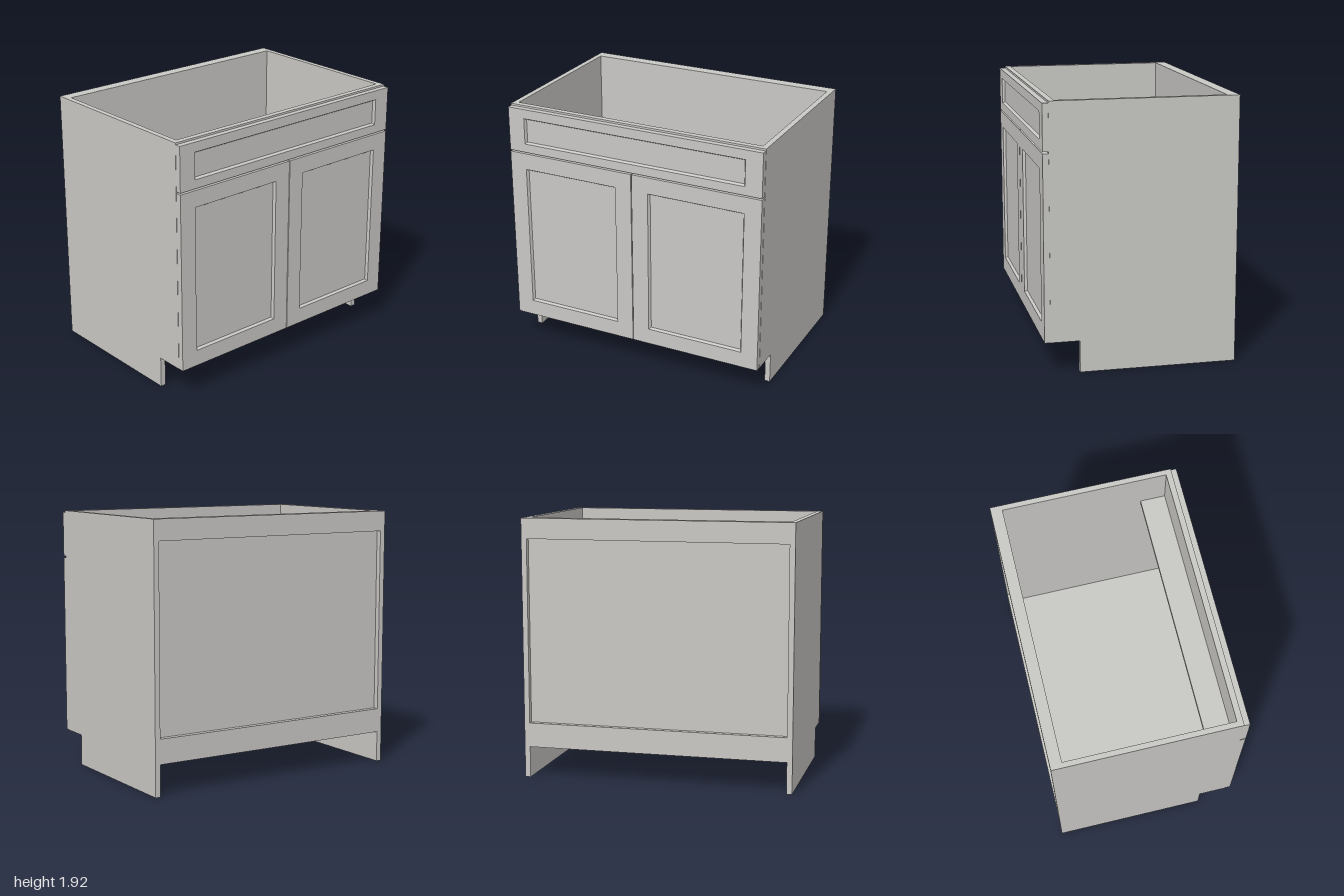
import * as THREE from 'three';

const W = 1, H = 1.92, T = 0.04;           // half width, height, board thickness
const BACK = -0.69, CASE = 0.648, FRONT = 0.69, FLOOR = 0.23;

export function createModel() {
  const model = new THREE.Group();
  model.name = 'baseCabinet';
  const paint = new THREE.MeshStandardMaterial({ color: 0xc9c8c5 });
  paint.name = 'warm grey paint';

  const add = (name, geometry, parent = model) => {
    const mesh = new THREE.Mesh(geometry, paint);
    mesh.name = name;
    parent.add(mesh);
    return mesh;
  };

  // Board given by its extents
  const board = (name, x0, x1, y0, y1, z0, z1, parent) => {
    const mesh = add(name, new THREE.BoxGeometry(x1 - x0, y1 - y0, z1 - z0), parent);
    mesh.position.set((x0 + x1) / 2, (y0 + y1) / 2, (z0 + z1) / 2);
  };

  const rect = (Type, x0, x1, y0, y1) => {
    const p = new Type();
    p.moveTo(x0, y0).lineTo(x1, y0).lineTo(x1, y1).lineTo(x0, y1).closePath();
    return p;
  };

  // Side panels with a toe-kick notch at the lower front
  const side = new THREE.Shape([
    [BACK, 0], [0.44, 0], [0.44, FLOOR], [CASE, FLOOR], [CASE, H], [BACK, H],
  ].map(([z, y]) => new THREE.Vector2(-z, y)));
  for (const s of [-1, 1]) {
    const g = new THREE.ExtrudeGeometry(side, { depth: T, bevelEnabled: false });
    g.rotateY(Math.PI / 2);
    const panel = add(s > 0 ? 'leftSide' : 'rightSide', g);
    panel.position.x = s > 0 ? W - T : -W;
  }

  // Carcass boards between the sides
  const X = W - T;
  board('floor', -X, X, FLOOR, FLOOR + T, BACK + T, CASE);
  board('backPanel', -X, X, FLOOR + T, H, BACK + T, -0.605);
  board('backTopRail', -X, X, H - 0.15, H, BACK, BACK + T);
  board('backBottomRail', -X, X, FLOOR, 0.41, BACK, BACK + T);
  board('frontTopRail', -X, X, 1.55, H, 0.605, CASE);
  board('stretcher', -X, X, 1.55, 1.59, 0.42, 0.605);

  // Shaker front: frame, chamfered inner edge and recessed panel
  const shakerFront = (name, [x0, x1, y0, y1], [a0, a1, b0, b1]) => {
    const group = new THREE.Group();
    group.name = name;
    model.add(group);
    const depth = 0.02, chamfer = 0.011;
    const outline = rect(THREE.Shape, x0, x1, y0, y1);
    outline.holes.push(rect(THREE.Path, a0, a1, b0, b1));
    const frame = add('frame', new THREE.ExtrudeGeometry(outline, {
      depth: FRONT - CASE, bevelEnabled: false,
    }), group);
    frame.position.z = CASE;
    board('panel', a0, a1, b0, b1, CASE, FRONT - depth, group);

    // Four sloping strips from the frame face down to the panel
    const ring = (d, z) => [
      [a0 + d, b0 + d, z], [a1 - d, b0 + d, z], [a1 - d, b1 - d, z], [a0 + d, b1 - d, z],
    ];
    const outer = ring(0, FRONT), inner = ring(chamfer, FRONT - depth);
    const points = [];
    for (let i = 0; i < 4; i++) {
      const j = (i + 1) % 4;
      points.push(...outer[i], ...outer[j], ...inner[j], ...outer[i], ...inner[j], ...inner[i]);
    }
    const g = new THREE.BufferGeometry();
    g.setAttribute('position', new THREE.Float32BufferAttribute(points, 3));
    g.computeVertexNormals();
    add('chamfer', g, group);
  };

  shakerFront('drawerFront', [-0.998, 0.998, 1.575, 1.906], [-0.87, 0.87, 1.64, 1.836]);
  shakerFront('leftDoor', [0.003, 0.998, FLOOR, 1.563], [0.13, 0.87, 0.35, 1.44]);
  shakerFront('rightDoor', [-0.998, -0.003, FLOOR, 1.563], [-0.87, -0.13, 0.35, 1.44]);

  return model;
}
